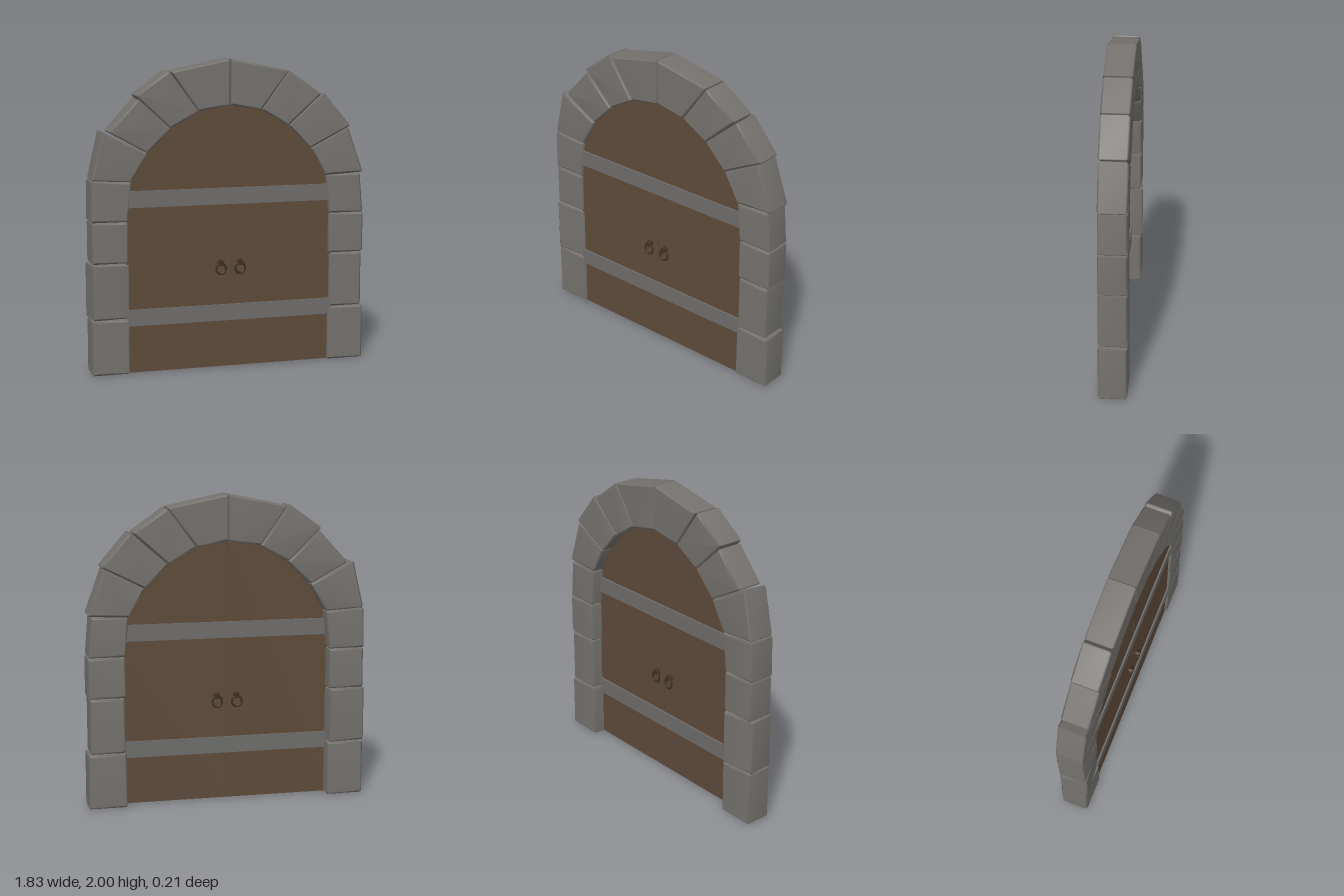
import * as THREE from 'three';
import { mergeVertices } from 'three/addons/utils/BufferGeometryUtils.js';

const material = (name, color) => {
  const m = new THREE.MeshStandardMaterial({ color });
  m.name = name;
  return m;
};

// Wedge block from four face corners, chamfered all round and smoothly shaded
function stoneGeometry(corners, depth = 0.18, c = 0.012) {
  const pts = corners.map(([x, y]) => new THREE.Vector2(x, y));
  const outline = [];
  pts.forEach((p, i) => {
    for (const q of [pts[(i + 3) % 4], pts[(i + 1) % 4]]) {
      outline.push(p.clone().add(q.clone().sub(p).setLength(c * 0.7)));
    }
  });
  let g = new THREE.ExtrudeGeometry(new THREE.Shape(outline), {
    depth: depth - 2 * c, bevelEnabled: true, bevelSegments: 1,
    bevelSize: c, bevelThickness: c, bevelOffset: -c,
  });
  g.translate(0, 0, c - depth / 2);
  g.deleteAttribute('uv');
  g.deleteAttribute('normal');
  g = mergeVertices(g, 1e-4);
  g.computeVertexNormals();
  return g;
}

export function createModel() {
  const group = new THREE.Group();
  group.name = 'archedDoorway';
  const stone = material('stone', 0x75726e);
  const wood = material('wood', 0x5e4b3a);
  const iron = material('band grey', 0x6e6d6b);
  const bronze = material('handle brown', 0x403020);

  const add = (name, geometry, mat, parent = group) => {
    const mesh = new THREE.Mesh(geometry, mat);
    mesh.name = name;
    parent.add(mesh);
    return mesh;
  };
  const rect = (x0, x1, y0, y1) => [[x0, y0], [x1, y0], [x1, y1], [x0, y1]];

  // Pillar stones
  [
    rect(0.667, 0.915, 0, 0.355), rect(0.675, 0.9, 0.36, 0.716), rect(0.668, 0.91, 0.72, 0.982),
    rect(-0.91, -0.665, 0, 0.355), rect(-0.905, -0.67, 0.72, 0.982),
  ].forEach((q) => add('pillarStone', stoneGeometry(q), stone));
  // One pillar stone sits slightly twisted
  const twisted = add('twistedPillarStone', stoneGeometry(rect(-0.122, 0.122, 0.36, 0.716)), stone);
  twisted.position.x = -0.79;
  twisted.rotation.y = 0.1;

  // Arch stones: inner low, outer low, outer high, inner high
  const inner = [[0.67, 0.985], [0.645, 1.235], [0.54, 1.415], [0.39, 1.565], [0.208, 1.67], [0, 1.705]];
  const outerRight = [
    [[0.907, 0.985], [0.885, 1.245]], [[0.905, 1.25], [0.8, 1.545]], [[0.815, 1.555], [0.63, 1.772]],
    [[0.612, 1.765], [0.393, 1.92]], [[0.393, 1.92], [0, 2]],
  ];
  const outerLeft = [
    [[0.91, 0.985], [0.905, 1.248]], [[0.9, 1.25], [0.83, 1.557]], [[0.787, 1.55], [0.6, 1.757]],
    [[0.612, 1.775], [0.4, 1.93]], [[0.385, 1.92], [0, 2]],
  ];
  for (let i = 0; i < 5; i++) {
    const right = [inner[i], ...outerRight[i], inner[i + 1]];
    const left = [inner[i], ...outerLeft[i], inner[i + 1]].map(([x, y]) => [-x, y]).reverse();
    add('archStone', stoneGeometry(right), stone);
    add('archStone', stoneGeometry(left), stone);
  }

  // Two door leaves meeting at a fine seam, tucked slightly into the frame
  for (const s of [1, -1]) {
    const seam = 0.002;
    const edge = inner.map(([x, y]) => [s * Math.max(x * 1.02, seam), y + 0.008]);
    const pts = [[s * seam, 0.005], [s * 0.683, 0.005], ...edge];
    const shape = new THREE.Shape(pts.map(([x, y]) => new THREE.Vector2(x, y)));
    const g = new THREE.ExtrudeGeometry(shape, { depth: 0.085, bevelEnabled: false });
    add('doorLeaf', g.translate(0, 0, -0.01), wood);
  }

  // Cross bands run across both faces
  for (const y of [0.363, 1.125]) {
    add('crossBand', new THREE.BoxGeometry(1.37, 0.107, 0.107), iron).position.set(0, y, 0.032);
  }

  // Ring handles on both faces
  for (const [faceZ, dir] of [[0.075, 1], [-0.01, -1]]) {
    for (const x of [-0.066, 0.063]) {
      const handle = new THREE.Group();
      handle.name = 'ringHandle';
      handle.position.set(x, 0.655, faceZ);
      group.add(handle);
      const ring = add('ring', new THREE.TorusGeometry(0.032, 0.007, 8, 20), bronze, handle);
      ring.scale.y = 1.12;
      ring.position.z = dir * 0.018;
      const knob = add('knob', new THREE.CylinderGeometry(0.018, 0.022, 0.03, 12), bronze, handle);
      knob.rotation.x = dir * Math.PI / 2;
      knob.position.set(0, 0.036, dir * 0.015);
    }
  }
  return group;
}
